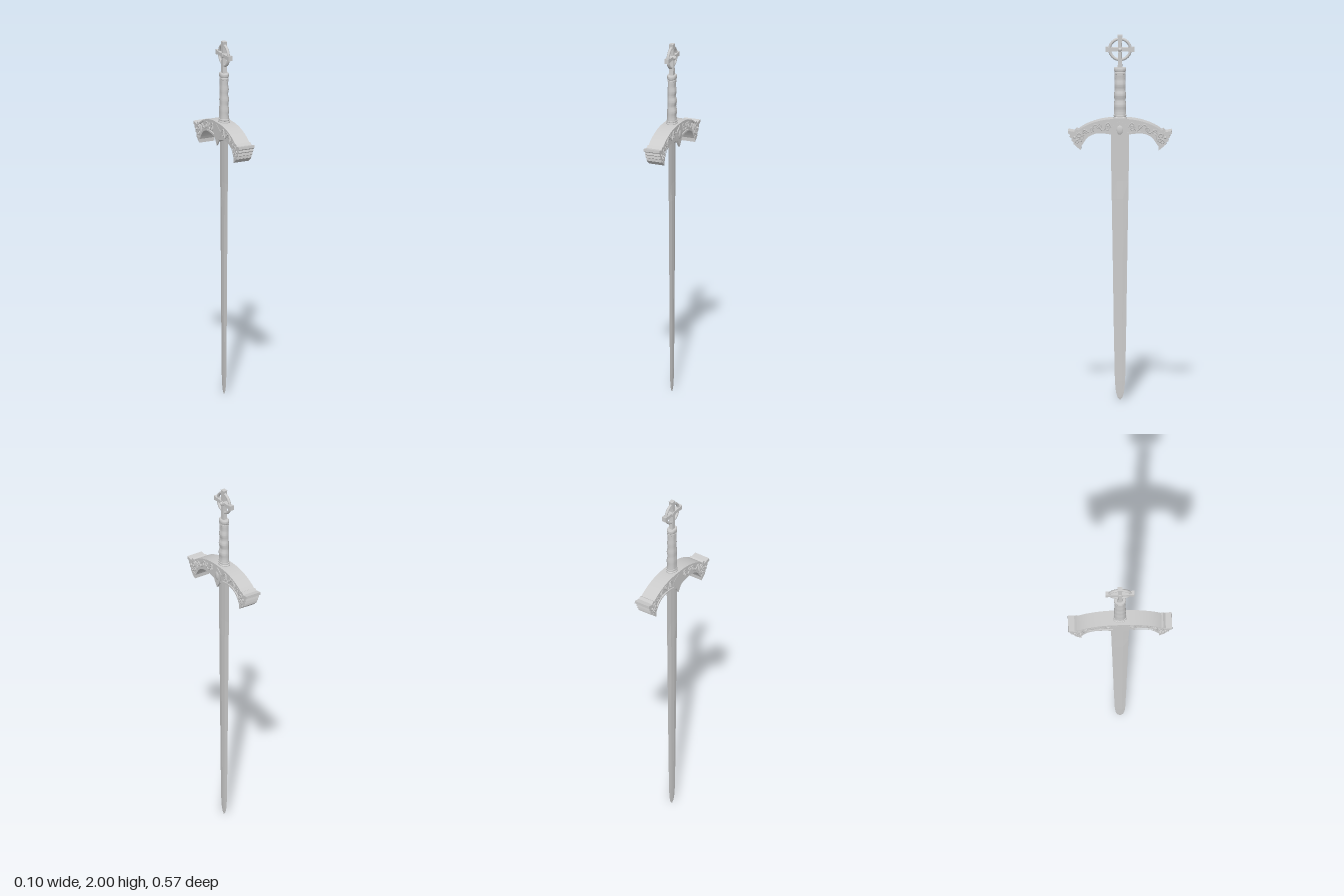
import * as THREE from 'three';
import { toCreasedNormals } from 'three/addons/utils/BufferGeometryUtils.js';

const steel = new THREE.MeshStandardMaterial({ color: 0xcccccc });
const V2 = (p) => new THREE.Vector2(p[0], p[1]);

function add(parent, name, geometry) {
  const mesh = new THREE.Mesh(geometry, steel);
  mesh.name = name;
  parent.add(mesh);
  return mesh;
}

// Skin a stack of closed cross-sections, ordered upwards, with end caps
function loft(rings, crease) {
  const pos = [];
  const tri = (...p) => p.forEach((v) => pos.push(...v));
  const n = rings[0].length;
  const centre = (r) => [0, 1, 2].map((k) => r.reduce((s, p) => s + p[k], 0) / n);
  const last = rings[rings.length - 1];
  const c0 = centre(rings[0]), c1 = centre(last);
  for (let j = 0; j < n; j++) {
    const k = (j + 1) % n;
    for (let i = 0; i < rings.length - 1; i++) {
      const a = rings[i], b = rings[i + 1];
      tri(a[j], b[j], a[k]);
      tri(a[k], b[j], b[k]);
    }
    tri(c0, rings[0][j], rings[0][k]);
    tri(c1, last[k], last[j]);
  }
  const g = new THREE.BufferGeometry();
  g.setAttribute('position', new THREE.Float32BufferAttribute(pos, 3));
  g.computeVertexNormals();
  return crease ? toCreasedNormals(g, crease) : g;
}

const ellipse = (y, rx, rz, n = 24, x = 0) => Array.from({ length: n }, (_, j) => {
  const a = (j / n) * Math.PI * 2;
  return [x + rx * Math.cos(a), y, rz * Math.sin(a)];
});

// Extrude a (z, y) outline across x, centred on x = at
function across(points, width, holes = [], at = 0) {
  const shape = new THREE.Shape(points.map(V2));
  holes.forEach((h) => shape.holes.push(new THREE.Path(h.map(V2))));
  const g = new THREE.ExtrudeGeometry(shape, { depth: width, bevelEnabled: false });
  g.translate(0, 0, -width / 2).rotateY(-Math.PI / 2).translate(at, 0, 0);
  return toCreasedNormals(g, 0.6);
}

function tube(points, radius, segments = 24) {
  const curve = new THREE.CatmullRomCurve3(points.map((p) => new THREE.Vector3(...p)));
  return new THREE.TubeGeometry(curve, segments, radius, 6);
}

function makeBlade(group) {
  // height, half width, half thickness
  const stations = [[0, 0.003, 0.0008], [0.012, 0.014, 0.0015], [0.04, 0.022, 0.002],
    [0.1, 0.028, 0.003], [0.4, 0.034, 0.0045], [0.8, 0.04, 0.006], [1.1, 0.045, 0.006],
    [1.2, 0.047, 0.004], [1.48, 0.05, 0.004]];
  add(group, 'blade', loft(stations.map(([y, w, t]) => [
    [t, y, -w * 0.35], [t, y, w * 0.35], [0, y, w],
    [-t, y, w * 0.35], [-t, y, -w * 0.35], [0, y, -w]])));
}

function makeGuard(group) {
  const guard = new THREE.Group();
  guard.name = 'crossguard';
  group.add(guard);

  // Upper and lower edges of one arm, as (z, y)
  const top = new THREE.SplineCurve([[0, 1.545], [0.06, 1.543], [0.12, 1.532], [0.18, 1.51],
    [0.225, 1.482], [0.25, 1.455]].map(V2));
  const low = new THREE.SplineCurve([[0, 1.435], [0.035, 1.455], [0.08, 1.464], [0.13, 1.464],
    [0.17, 1.447], [0.193, 1.42], [0.205, 1.4]].map(V2));
  const inside = (t, f) => {
    const p = low.getPoint(t).lerp(top.getPoint(t), f);
    return [p.x, p.y];
  };
  const edge = (f, a, b, n = 24) => Array.from({ length: n + 1 }, (_, i) => inside(a + (b - a) * i / n, f));
  const mirror = (pts, s) => pts.map(([z, y]) => [z * s, y]);

  const outline = [...edge(1, 0, 1), ...edge(0, 1, 0),
    ...mirror(edge(0, 0, 1), -1).slice(1), ...mirror(edge(1, 1, 0), -1).slice(0, -1)];
  const panel = [...edge(0.86, 0.17, 0.9), ...edge(0.14, 0.9, 0.17)];
  add(guard, 'guardCore', across(outline, 0.074));
  add(guard, 'guardRim', across(outline, 0.086, [panel, mirror(panel, -1)]));

  // Grooved beast-head terminals
  const head = [[0.205, 1.47], [0.235, 1.487], [0.25, 1.472], [0.28, 1.478], [0.281, 1.464],
    [0.27, 1.457], [0.273, 1.445], [0.262, 1.438], [0.264, 1.424], [0.252, 1.418],
    [0.252, 1.405], [0.238, 1.4], [0.226, 1.386], [0.212, 1.374], [0.213, 1.39], [0.2, 1.41], [0.2, 1.435]];
  const brow = [[0.236, 1.472], [0.282, 1.48], [0.283, 1.465], [0.262, 1.456], [0.24, 1.455]];
  const jaw = [[0.21, 1.405], [0.238, 1.412], [0.243, 1.4], [0.228, 1.386], [0.211, 1.373]];

  for (const s of [1, -1]) {
    const end = new THREE.Group();
    end.name = s > 0 ? 'frontTerminal' : 'backTerminal';
    guard.add(end);
    add(end, 'head', across(mirror(head, s), 0.088));
    add(end, 'brow', across(mirror(brow, s), 0.094));
    add(end, 'jaw', across(mirror(jaw, s), 0.093));
    for (const side of [1, -1]) {
      // Raised eye and curls of the mane
      const eye = add(end, 'eye', new THREE.SphereGeometry(0.007, 12, 8));
      eye.position.set(side * 0.044, 1.443, s * 0.247);
      [[0.222, 1.455, 0.011], [0.217, 1.43, 0.009], [0.232, 1.422, 0.008]].forEach(([z, y, r]) => {
        const curl = add(end, 'maneCurl', new THREE.TorusGeometry(r, 0.004, 6, 16));
        curl.rotation.y = Math.PI / 2;
        curl.position.set(side * 0.0445, y, s * z);
      });

      // Scrollwork in the recessed panels
      const face = side * 0.038;
      const vine = Array.from({ length: 17 }, (_, i) => {
        const [z, y] = inside(0.18 + 0.7 * i / 16, 0.5 + 0.28 * Math.sin(i * 1.18));
        return [face, y, s * z];
      });
      add(guard, 'vine', tube(vine, 0.004, 60));
      [0.26, 0.4, 0.54, 0.68, 0.81].forEach((t, k) => {
        const [z, y] = inside(t, k % 2 ? 0.6 : 0.4);
        const spiral = Array.from({ length: 13 }, (_, i) => {
          const a = i * 0.75 + k * Math.PI, r = 0.003 + 0.001 * i;
          return [face, y + r * Math.sin(a), s * (z + r * Math.cos(a))];
        });
        add(guard, 'scroll', tube(spiral, 0.003, 30));
      });
    }
  }

  // Central shield ornament
  const shield = [[0, 1.535], [0.02, 1.522], [0.04, 1.505], [0.032, 1.475], [0.02, 1.445], [0, 1.415],
    [-0.02, 1.445], [-0.032, 1.475], [-0.04, 1.505], [-0.02, 1.522]];
  add(guard, 'shield', across(shield, 0.012, [], 0.041));
  const boss = add(guard, 'shieldBoss', new THREE.SphereGeometry(1, 20, 12));
  boss.scale.set(0.007, 0.026, 0.018);
  boss.position.set(0.045, 1.485, 0);
  add(guard, 'backShield', across(shield, 0.008, [], -0.04));
}

function makeGrip(group) {
  // Oval grip with shallow finger swells, deeper on the +x side
  const rings = [];
  for (let i = 0; i <= 48; i++) {
    const t = i / 48;
    const swell = Math.sin(t * Math.PI * 9) * 0.0018 * Math.sin(t * Math.PI);
    rings.push(ellipse(1.54 + 0.265 * t, 0.026 - 0.005 * t + swell, 0.034 - 0.005 * t + swell * 0.6, 24, swell * 0.6));
  }
  add(group, 'grip', loft(rings, 0.6));

  const collar = (name, y, h, rx, rz) => add(group, name, loft(
    [[0, 0.9], [0.2, 1], [0.8, 1], [1, 0.9]].map(([f, k]) => ellipse(y + h * f, rx * k, rz * k)), 0.6));
  collar('baseCollar', 1.538, 0.014, 0.03, 0.039);
  collar('lowerBand', 1.555, 0.01, 0.028, 0.036);
  collar('upperBand', 1.785, 0.012, 0.023, 0.031);
  collar('topCollar', 1.799, 0.024, 0.025, 0.033);
}

function makePommel(group) {
  const pommel = new THREE.Group();
  pommel.name = 'pommel';
  pommel.position.y = 1.922;
  group.add(pommel);

  const ring = add(pommel, 'ring', new THREE.TorusGeometry(0.057, 0.008, 10, 40));
  ring.rotation.y = Math.PI / 2;

  // Four flared arms
  const arm = (length) => [[-0.009, 0], [0.009, 0], [0.01, length * 0.6], [0.014, length],
    [-0.014, length], [-0.01, length * 0.6]];
  [0.078, 0.078, 0.105, 0.078].forEach((length, k) => {
    add(pommel, 'crossArm', across(arm(length), 0.024)).rotation.x = k * Math.PI / 2;
  });
  const hub = add(pommel, 'hub', new THREE.CylinderGeometry(0.015, 0.015, 0.032, 20));
  hub.rotation.z = Math.PI / 2;
  const stud = add(pommel, 'stud', new THREE.SphereGeometry(0.011, 14, 10));
  stud.position.x = 0.015;
}

export function createModel() {
  const group = new THREE.Group();
  group.name = 'sword';
  makeBlade(group);
  makeGuard(group);
  makeGrip(group);
  makePommel(group);
  return group;
}
